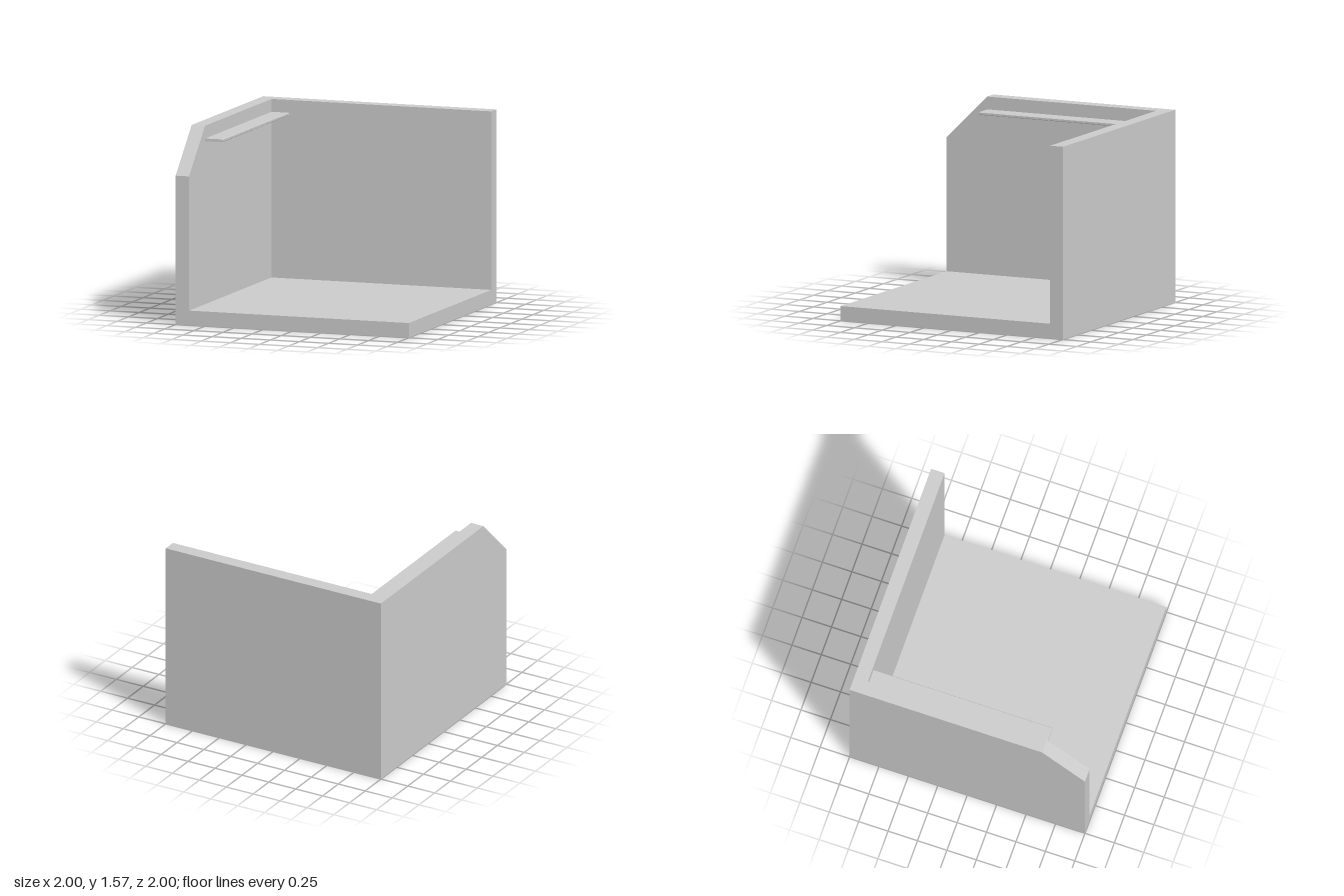
import * as THREE from 'three';

const H = 1.57;       // wall height
const FLOOR = 0.12;   // floor height
const IN = -0.885;    // inner face of both walls
const CUT_Y = 1.21;   // bottom of the sloped wall corner
const CUT_Z = 0.635;  // top of the sloped wall corner

const material = new THREE.MeshStandardMaterial({ color: 0xcccccc, side: THREE.DoubleSide });

// Flat panel: outline facing +z, pushed out along its normal, then turned into place
function panel(name, points, offset, rx = 0, ry = 0) {
  const shape = new THREE.Shape(points.map(([u, v]) => new THREE.Vector2(u, v)));
  const geometry = new THREE.ShapeGeometry(shape).translate(0, 0, offset);
  const mesh = new THREE.Mesh(geometry, material);
  mesh.name = name;
  mesh.rotation.set(rx, ry, 0);
  return mesh;
}

const rect = (u0, v0, u1, v1) => [[u0, v0], [u1, v0], [u1, v1], [u0, v1]];

// Side wall outline with its sloped front corner, in (z, y)
const sideOutline = (z0, y0) => [[z0, y0], [1, y0], [1, CUT_Y], [CUT_Z, H], [z0, H]];

export function createModel() {
  const model = new THREE.Group();
  const shell = new THREE.Group();
  shell.name = 'hollowShell';
  const quarter = Math.PI / 2;

  // Hollow shell, open underneath
  shell.add(
    panel('frontEdge', [[-1, 0], [1, 0], [1, FLOOR], [IN, FLOOR], [IN, CUT_Y], [-1, CUT_Y]], 1),
    panel('openSideEdge', [[-1, 0], [1, 0], [1, H], [-IN, H], [-IN, FLOOR], [-1, FLOOR]], 1, 0, quarter),
    panel('backWallOuter', rect(-1, 0, 1, H), 1, 0, Math.PI),
    panel('backWallInner', rect(IN, FLOOR, 1, H), IN),
    panel('sideWallOuter', sideOutline(-1, 0), 1, 0, -quarter),
    panel('sideWallInner', sideOutline(IN, FLOOR).map(([z, y]) => [-z, y]), IN, 0, quarter),
    panel('floor', rect(IN, -1, 1, -IN), FLOOR, -quarter),
    panel('topRim', [[-1, -CUT_Z], [IN, -CUT_Z], [IN, -IN], [1, -IN], [1, 1], [-1, 1]], H, -quarter),
  );

  // Sloped end of the side wall
  const run = 1 - CUT_Z, rise = H - CUT_Y;
  const slope = new THREE.Mesh(new THREE.PlaneGeometry(IN + 1, Math.hypot(run, rise)), material);
  slope.name = 'slopedCorner';
  slope.position.set((IN - 1) / 2, (H + CUT_Y) / 2, (1 + CUT_Z) / 2);
  slope.rotation.x = -Math.atan2(run, rise);
  shell.add(slope);

  // Thin shelf with a slightly bevelled free edge
  const x1 = -0.737, y0 = 1.443, y1 = 1.466, b = 0.004;
  const profile = new THREE.Shape([
    [IN, y0], [x1 - b, y0], [x1, y0 + b], [x1, y1 - b], [x1 - b, y1], [IN, y1],
  ].map(([x, y]) => new THREE.Vector2(x, y)));
  const shelf = new THREE.Mesh(
    new THREE.ExtrudeGeometry(profile, { depth: CUT_Z - IN, bevelEnabled: false }), material);
  shelf.name = 'shelf';
  shelf.position.z = IN;

  model.add(shell, shelf);
  return model;
}
